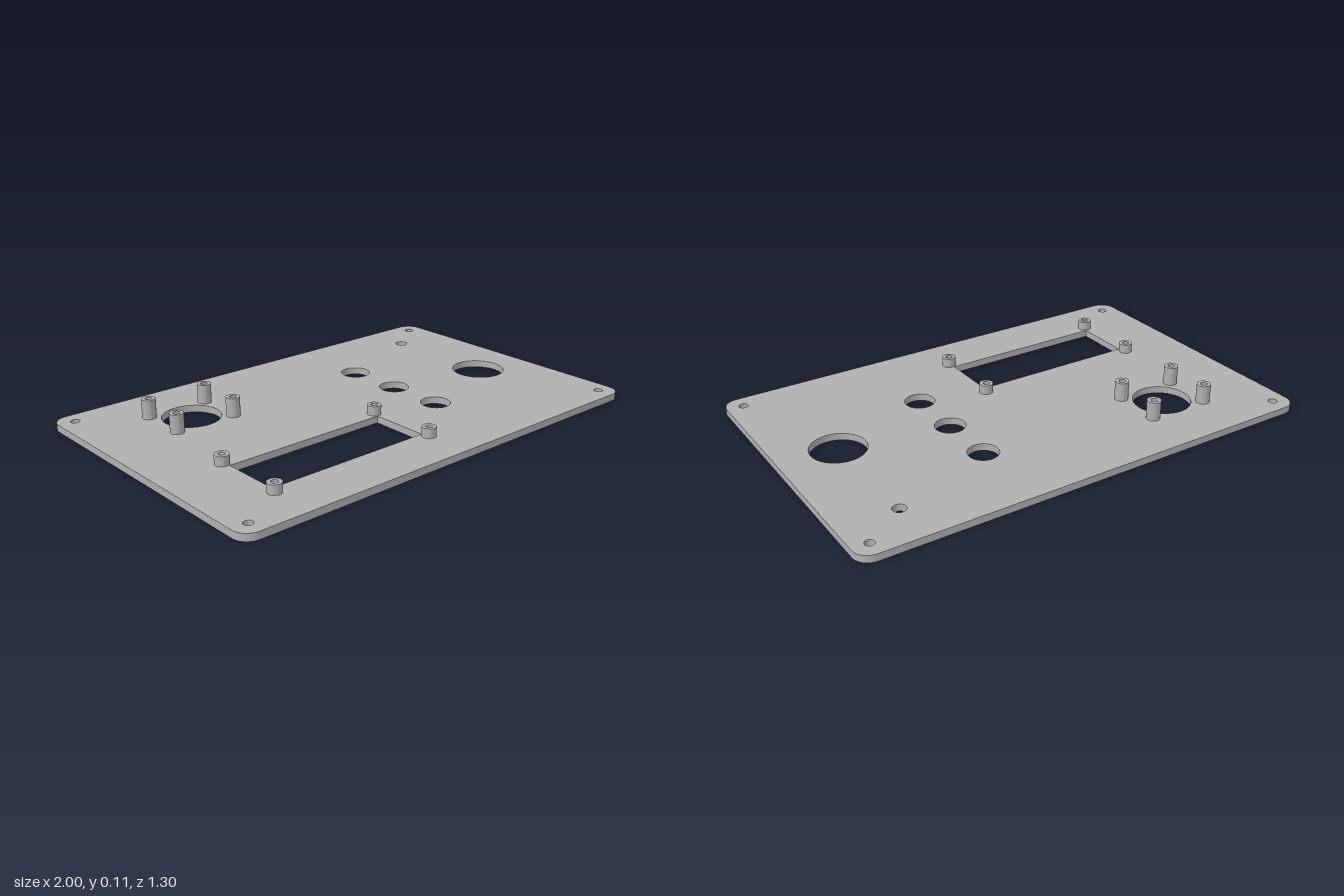
import * as THREE from 'three';
import { toCreasedNormals } from 'three/addons/utils/BufferGeometryUtils.js';

const HALF_X = 1, HALF_Z = 0.65, CORNER = 0.065, THICK = 0.03;

// Shape coordinates are (x, z)
function roundedPanel() {
  const s = new THREE.Shape();
  const x = HALF_X - CORNER, z = HALF_Z - CORNER;
  s.absarc(x, z, CORNER, 0, Math.PI / 2);
  s.absarc(-x, z, CORNER, Math.PI / 2, Math.PI);
  s.absarc(-x, -z, CORNER, Math.PI, Math.PI * 1.5);
  s.absarc(x, -z, CORNER, Math.PI * 1.5, Math.PI * 2);
  s.closePath();
  return s;
}

function roundHole(x, z, r) {
  return new THREE.Path().absarc(x, z, r, 0, Math.PI * 2, true);
}

// Hollow screw post with a blind pilot hole
function postGeometry(height) {
  const profile = [[0.029, 0], [0.029, height], [0.014, height], [0.014, 0.002], [0, 0.002]];
  const g = new THREE.LatheGeometry(profile.map(([r, y]) => new THREE.Vector2(r, y)), 32);
  return toCreasedNormals(g, Math.PI / 6);
}

export function createModel() {
  const group = new THREE.Group();
  const grey = new THREE.MeshStandardMaterial({ color: 0xb0b0b0 });
  grey.name = 'panel grey';

  // Panel with its cut-outs
  const shape = roundedPanel();
  for (const x of [-0.93, 0.93])
    for (const z of [-0.58, 0.58]) shape.holes.push(roundHole(x, z, 0.019)); // corner screws
  for (const z of [-0.28, -0.03, 0.22]) shape.holes.push(roundHole(0.3, z, 0.063)); // buttons
  shape.holes.push(roundHole(-0.55, -0.32, 0.121)); // connector
  shape.holes.push(roundHole(0.75, 0.05, 0.114)); // large control
  shape.holes.push(roundHole(0.75, -0.45, 0.027)); // indicator
  shape.holes.push(new THREE.Path([
    [-0.715, 0.174], [-0.715, 0.425], [0.013, 0.425], [0.013, 0.174], [-0.715, 0.174],
  ].map(([x, z]) => new THREE.Vector2(x, z)))); // display window

  const plate = new THREE.ExtrudeGeometry(shape, { depth: THICK, bevelEnabled: false, curveSegments: 32 });
  plate.rotateX(Math.PI / 2).translate(0, THICK, 0);
  const panel = new THREE.Mesh(toCreasedNormals(plate, Math.PI / 6), grey);
  panel.name = 'panel';
  group.add(panel);

  // Four posts around each of the connector and the display
  const addPosts = (name, xs, zs, height) => {
    const set = new THREE.Group();
    set.name = name + 'Posts';
    const geometry = postGeometry(height);
    for (const x of xs)
      for (const z of zs) {
        const post = new THREE.Mesh(geometry, grey);
        post.name = name + 'Post';
        post.position.set(x, THICK, z);
        set.add(post);
      }
    group.add(set);
  };
  addPosts('connector', [-0.684, -0.418], [-0.422, -0.217], 0.081);
  addPosts('display', [-0.727, 0.022], [0.144, 0.456], 0.04);

  return group;
}
